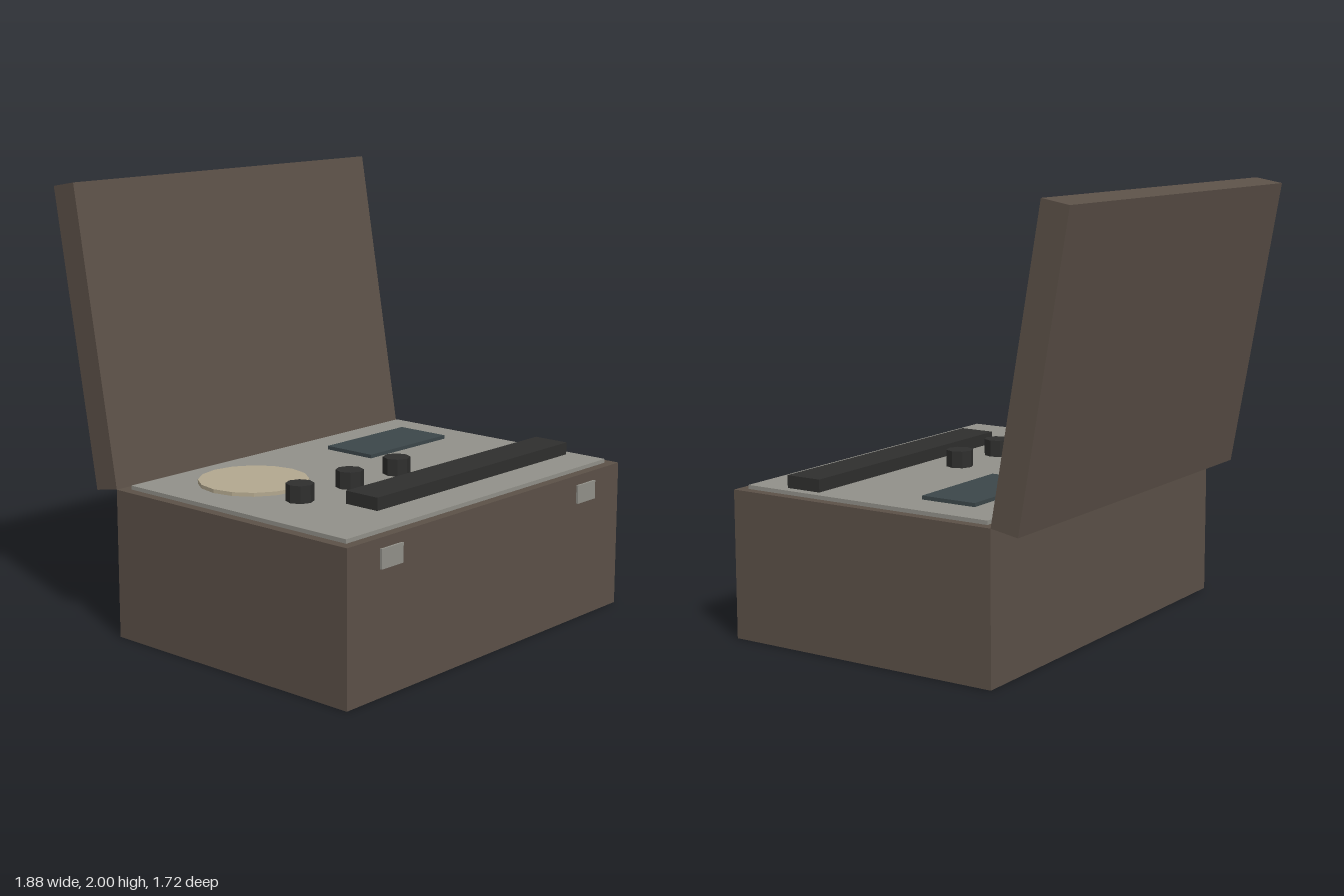
import * as THREE from 'three';

const material = (color) => new THREE.MeshStandardMaterial({ color, flatShading: true });

export function createModel() {
  const model = new THREE.Group();
  const leather = material(0x5c5148);
  const metal = material(0x92918a);
  const black = material(0x2f2f2e);
  const cream = material(0xb3a88f);
  const glass = material(0x3c474a);

  const add = (name, geometry, mat, parent = model) => {
    const mesh = new THREE.Mesh(geometry, mat);
    mesh.name = name;
    parent.add(mesh);
    return mesh;
  };
  // Box given by its extents along each axis
  const box = (name, mat, [x0, x1], [y0, y1], [z0, z1], parent) => {
    const geometry = new THREE.BoxGeometry(x1 - x0, y1 - y0, z1 - z0);
    return add(name, geometry.translate((x0 + x1) / 2, (y0 + y1) / 2, (z0 + z1) / 2), mat, parent);
  };
  // Upright disc standing between two heights
  const disc = (name, mat, radius, sides, x, z, y0, y1) => {
    const geometry = new THREE.CylinderGeometry(radius, radius, y1 - y0, sides);
    return add(name, geometry.translate(x, (y0 + y1) / 2, z), mat);
  };

  // Case body and inset deck plate
  box('caseBody', leather, [-0.94, 0.94], [0, 0.675], [-0.495, 0.855]);
  box('deckPlate', metal, [-0.895, 0.895], [0.66, 0.693], [-0.45, 0.81]);

  // Open lid, hinged on the top rear edge and leaning back
  const lid = new THREE.Group();
  lid.name = 'lid';
  lid.position.set(0, 0.675, -0.495);
  lid.rotation.x = THREE.MathUtils.degToRad(-10);
  box('lidPanel', leather, [-0.94, 0.94], [0, 1.345], [-0.132, 0], lid);
  model.add(lid);

  // Deck fittings
  disc('turntable', cream, 0.245, 16, -0.5, -0.09, 0.68, 0.71);
  box('displayWindow', glass, [0.18, 0.72], [0.68, 0.71], [-0.27, 0]);
  box('controlBar', black, [-0.495, 0.85], [0.68, 0.75], [0.45, 0.625]);
  for (const x of [-0.585, -0.27, 0.045]) disc('knob', black, 0.062, 8, x, 0.27, 0.68, 0.77);

  // Front latches
  for (const side of [-1, 1]) {
    const x = side * 0.675;
    box(side < 0 ? 'rightLatch' : 'leftLatch', metal, [x - 0.067, x + 0.067], [0.545, 0.63], [0.84, 0.865]);
  }

  return model;
}
